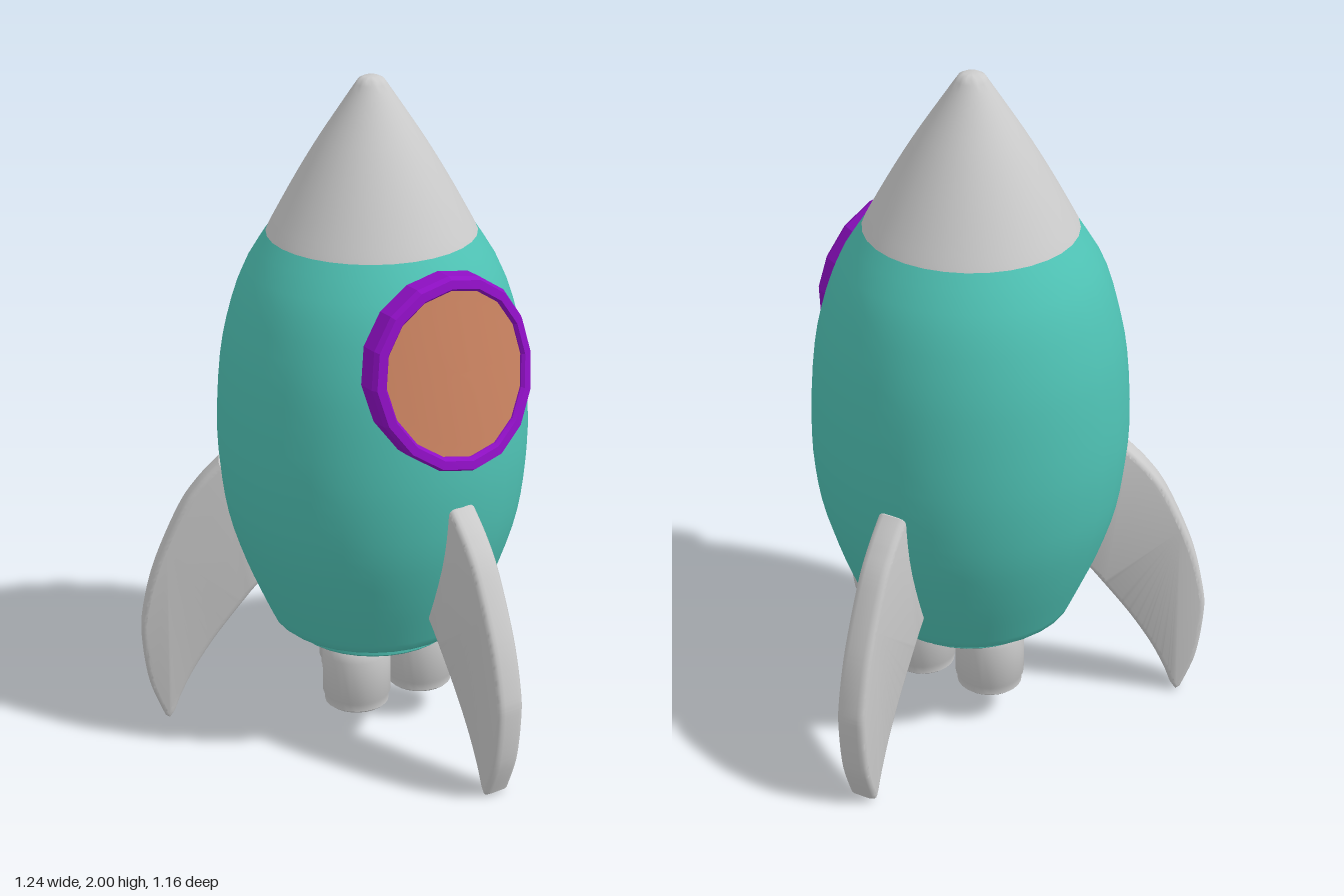
import * as THREE from 'three';
import { toCreasedNormals } from 'three/addons/utils/BufferGeometryUtils.js';

const AXIS_Z = -0.12; // the hull axis sits behind the origin

const v2 = (pts) => pts.map(([x, y]) => new THREE.Vector2(x, y));
const mat = (color) => new THREE.MeshStandardMaterial({ color });

function part(name, geometry, material) {
  const mesh = new THREE.Mesh(geometry, material);
  mesh.name = name;
  return mesh;
}

// Lathe with smooth curves and sharp corners; points run so that faces look outward
const lathe = (pts, sides) => toCreasedNormals(new THREE.LatheGeometry(v2(pts), sides), 0.6);

// Front surface of the porthole: leans back with height and curves round the hull
const portY = 1.25;
function bendToHull(geometry) {
  const p = geometry.attributes.position;
  for (let i = 0; i < p.count; i++) {
    const x = p.getX(i), y = p.getY(i);
    p.setZ(i, p.getZ(i) + 0.33 - 0.226 * y - 0.55 * x * x);
    p.setY(i, y + portY);
  }
  geometry.computeVertexNormals();
  return geometry;
}

function finGeometry() {
  const s = new THREE.Shape();
  s.moveTo(0.33, 0.47);
  s.lineTo(0.38, 0.85);
  s.lineTo(0.455, 0.85);
  s.splineThru(v2([[0.52, 0.78], [0.58, 0.69], [0.657, 0.51], [0.695, 0.36],
    [0.7, 0.27], [0.682, 0.13], [0.64, 0.015]]));
  s.lineTo(0.625, 0.005);
  s.lineTo(0.608, 0.03);
  s.splineThru(v2([[0.585, 0.09], [0.54, 0.18], [0.47, 0.29], [0.365, 0.43]]));
  s.closePath();
  const g = new THREE.ExtrudeGeometry(s, {
    depth: 0.046, bevelEnabled: true, bevelThickness: 0.02, bevelSize: 0.016,
    bevelOffset: -0.016, bevelSegments: 3, curveSegments: 16,
  });
  g.translate(0, 0, -0.023);
  return toCreasedNormals(g, 0.6);
}

export function createModel() {
  const model = new THREE.Group();
  const grey = mat(0xcccccc), teal = mat(0x4fc3b5), purple = mat(0x8f0fc4), amber = mat(0xc98260);

  const rocket = new THREE.Group();
  rocket.name = 'rocket';
  rocket.position.z = AXIS_Z;
  model.add(rocket);

  // Hull, with the stepped collar underneath
  const side = new THREE.SplineCurve(v2([[0.305, 0.352], [0.335, 0.42], [0.38, 0.53], [0.425, 0.67],
    [0.448, 0.8], [0.457, 0.95], [0.445, 1.15], [0.42, 1.29], [0.375, 1.43], [0.303, 1.55]]));
  const hull = [[0, 0.3], [0.238, 0.3], [0.248, 0.308], [0.248, 0.335], [0.275, 0.336], [0.292, 0.341],
    ...side.getPoints(22).map((p) => [p.x, p.y])];
  rocket.add(part('hull', lathe(hull, 32), teal));

  // Nose cone with a small blunt tip
  const cone = new THREE.SplineCurve(v2([[0.303, 1.55], [0.285, 1.585], [0.225, 1.695], [0.16, 1.805],
    [0.095, 1.905], [0.045, 1.98]]));
  const nose = [...cone.getPoints(14).map((p) => [p.x, p.y]), [0.036, 1.993], [0.022, 2], [0, 2]];
  rocket.add(part('noseCone', lathe(nose, 32), grey));

  // Three fins: front, back left, back right
  const fin = finGeometry();
  [['frontFin', -90], ['leftFin', 30], ['rightFin', 150]].forEach(([name, deg]) => {
    const m = part(name, fin, grey);
    m.rotation.y = THREE.MathUtils.degToRad(deg);
    rocket.add(m);
  });

  // Three hollow engine nozzles
  const nozzle = lathe([[0, 0.17], [0.06, 0.17], [0.066, 0.1], [0.088, 0.1], [0.096, 0.107],
    [0.096, 0.128], [0.102, 0.138], [0.102, 0.27], [0.096, 0.295], [0.085, 0.31]], 24);
  [['leftNozzle', 0.115, 0.08], ['rightNozzle', -0.115, 0.08], ['backNozzle', 0, -0.117]].forEach(([name, x, z]) => {
    const m = part(name, nozzle, grey);
    m.position.set(x, 0, z);
    rocket.add(m);
  });

  // Porthole frame and pane, both bent round the hull
  const frame = new THREE.LatheGeometry(v2([[0.236, -0.065], [0.27, -0.065], [0.27, -0.014], [0.262, 0],
    [0.238, 0], [0.23, -0.01], [0.23, -0.03], [0.236, -0.065]]), 16);
  frame.rotateX(Math.PI / 2);
  model.add(part('portholeFrame', toCreasedNormals(bendToHull(frame), 0.3), purple));

  const pane = new THREE.RingGeometry(0, 0.236, 16, 6);
  pane.translate(0, 0, -0.015);
  model.add(part('portholePane', bendToHull(pane), amber));

  return model;
}
